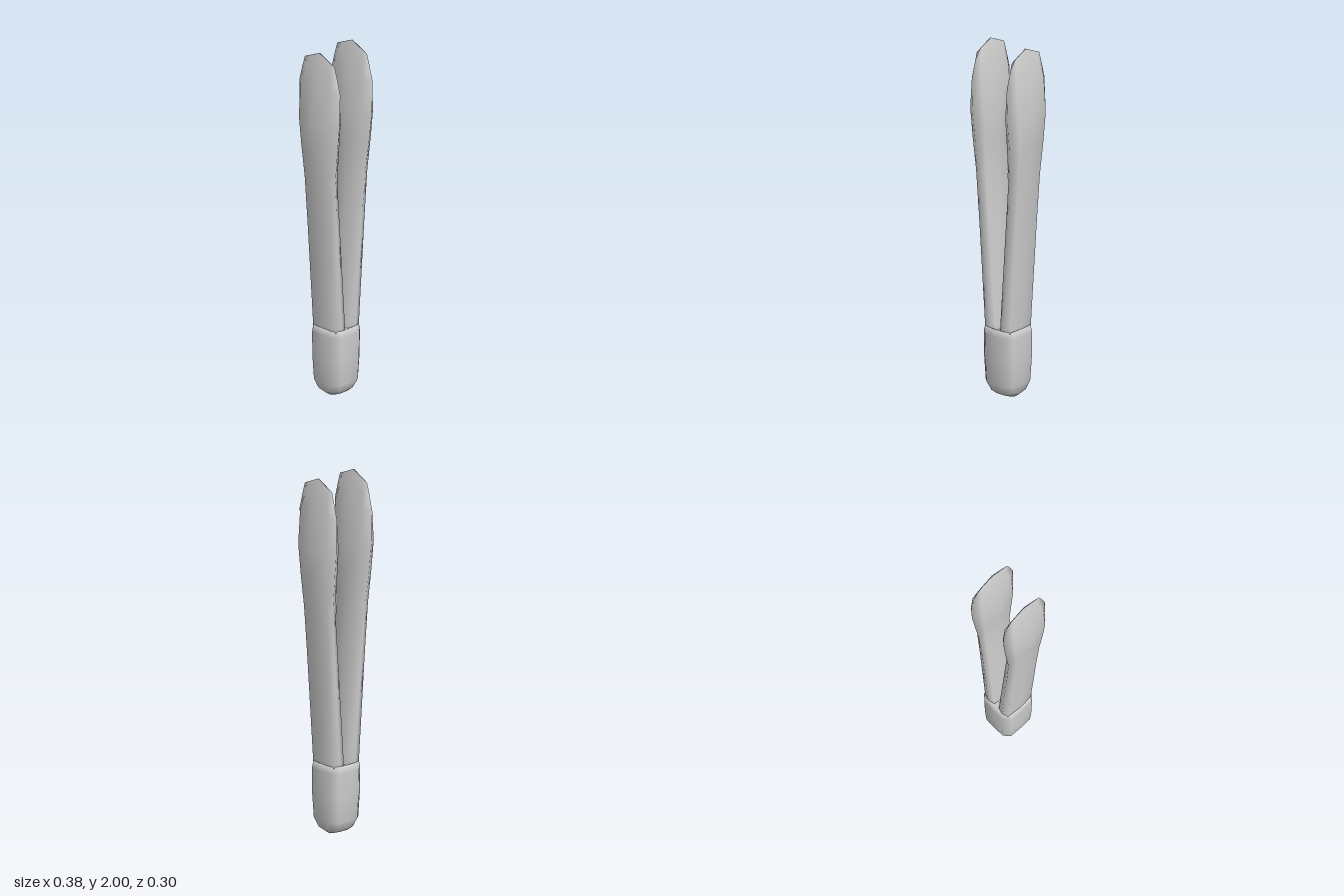
import * as THREE from 'three';

const material = new THREE.MeshStandardMaterial({ color: 0xcccccc });

// Eight-sided section: half width, half depth and how square its corners are
function section(hw, hz, kx, kz) {
  return [[1, 0], [kx, kz], [0, 1], [-kx, kz], [-1, 0], [-kx, -kz], [0, -1], [kx, -kz]]
    .map(([x, z]) => [x * hw, z * hz]);
}

// Smooth skin through rings of equal length, closed at both ends
function loft(name, rings) {
  const n = rings[0].length;
  const positions = rings.flat(2);
  const index = [];
  const centre = (ring) => [0, 1, 2].map((k) => ring.reduce((s, p) => s + p[k], 0) / n);
  const bottom = rings.length * n;
  const top = bottom + 1;
  positions.push(...centre(rings[0]), ...centre(rings[rings.length - 1]));
  for (let i = 0; i < n; i++) {
    const j = (i + 1) % n;
    for (let r = 0; r < rings.length - 1; r++) {
      const a = r * n + i, b = r * n + j;
      index.push(a, a + n, b, b, a + n, b + n);
    }
    const last = (rings.length - 1) * n;
    index.push(bottom, i, j, top, last + j, last + i);
  }
  const geometry = new THREE.BufferGeometry();
  geometry.setAttribute('position', new THREE.Float32BufferAttribute(positions, 3));
  geometry.setIndex(index);
  geometry.computeVertexNormals();
  const mesh = new THREE.Mesh(geometry, material);
  mesh.name = name;
  return mesh;
}

// Arm: splays outward from the base, swells and ends in a thin rounded blade
function createArm(name, side) {
  // y, centre x, half width, half depth, corner x, corner z, drop of the edges
  const profile = [
    [0.3, 0.046, 0.042, 0.094, 0.82, 0.88, 0],
    [0.42, 0.054, 0.043, 0.095, 0.82, 0.88, 0],
    [1.0, 0.094, 0.041, 0.099, 0.82, 0.87, 0],
    [1.27, 0.114, 0.043, 0.106, 0.8, 0.82, 0],
    [1.45, 0.12, 0.055, 0.127, 0.77, 0.77, 0],
    [1.62, 0.123, 0.065, 0.146, 0.74, 0.74, 0],
    [1.8, 0.123, 0.044, 0.152, 0.74, 0.73, 0],
    [1.91, 0.123, 0.021, 0.128, 0.72, 0.72, 0.02],
    [2.0, 0.123, 0.002, 0.11, 0.7, 0.7, 0.05],
  ];
  return loft(name, profile.map(([y, cx, hw, hz, kx, kz, drop]) =>
    section(hw, hz, kx, kz).map(([x, z]) => [side * cx + x, y - drop * Math.abs(z) / hz, z])));
}

// Base: rounded block that joins both arms, with a slightly dished top
function createBase() {
  // y, half width, half depth, rise of the bottom towards front and back
  const profile = [
    [0.0, 0.045, 0.062, 0.02],
    [0.022, 0.077, 0.077, 0.015],
    [0.085, 0.097, 0.1, 0],
    [0.22, 0.105, 0.106, 0],
    [0.36, 0.106, 0.108, 0],
    [0.4, 0.1, 0.1, 0],
    [0.385, 0.06, 0.07, 0],
  ];
  // Chamfered rectangle with midpoints on all four sides
  const outline = [[1, 0], [0.98, 0.7], [0.65, 0.98], [0, 1], [-0.65, 0.98], [-0.98, 0.7],
    [-1, 0], [-0.98, -0.7], [-0.65, -0.98], [0, -1], [0.65, -0.98], [0.98, -0.7]];
  return loft('base', profile.map(([y, hw, hz, rise]) =>
    outline.map(([x, z]) => [x * hw, y + rise * Math.abs(z), z * hz])));
}

export function createModel() {
  const model = new THREE.Group();
  model.name = 'tongs';
  model.add(createBase(), createArm('leftArm', 1), createArm('rightArm', -1));
  return model;
}
